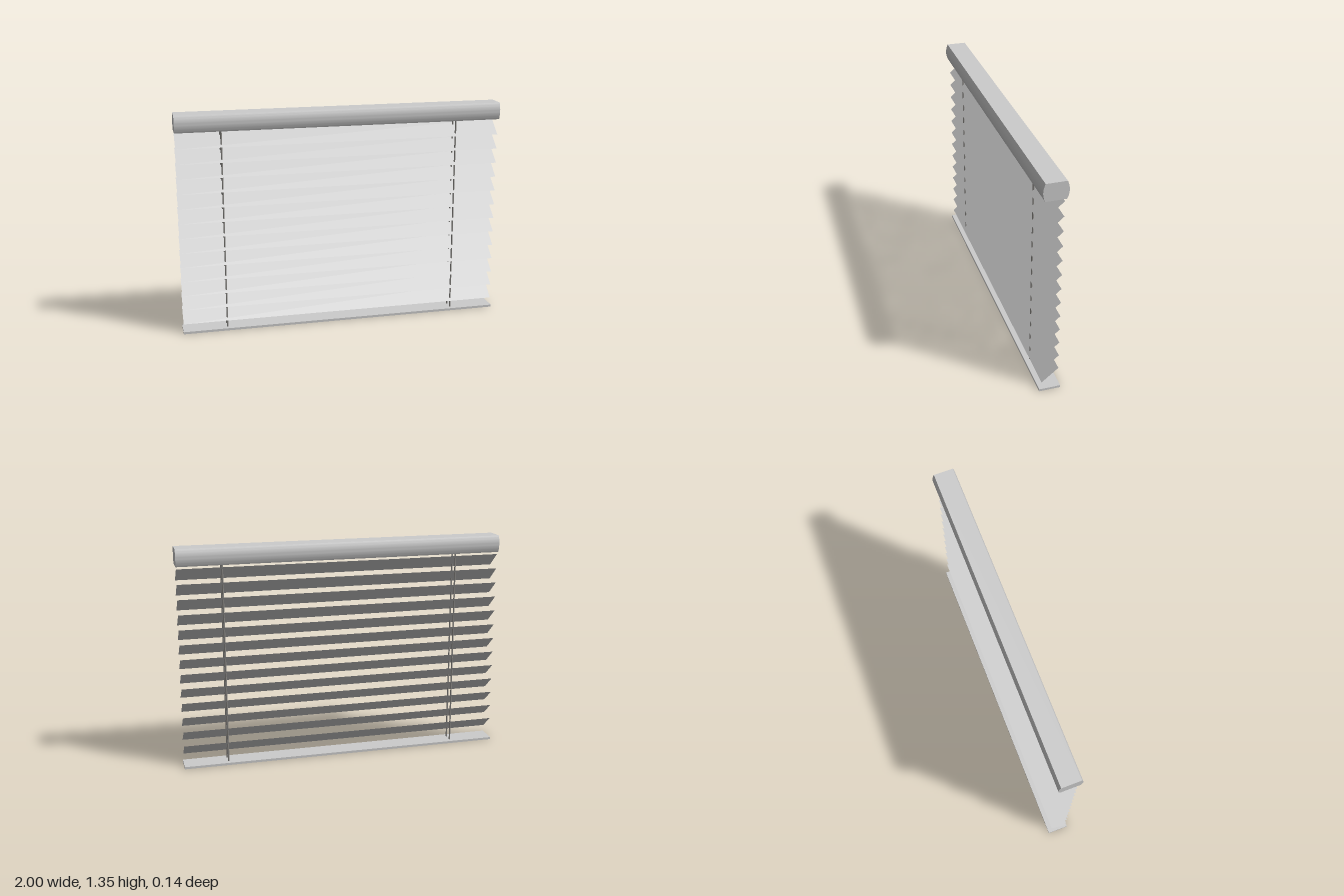
import * as THREE from 'three';
import { toCreasedNormals } from 'three/addons/utils/BufferGeometryUtils.js';

export function createModel() {
  const model = new THREE.Group();
  model.name = 'venetianBlind';

  const lightGrey = new THREE.MeshStandardMaterial({ color: 0xcccccc });
  lightGrey.name = 'light grey';
  const slatGrey = new THREE.MeshStandardMaterial({ color: 0xcccccc, side: THREE.DoubleSide });
  slatGrey.name = 'slat grey';
  const cordGrey = new THREE.MeshStandardMaterial({ color: 0x8c8a86 });
  cordGrey.name = 'cord grey';

  const add = (name, geometry, material, x, y, z) => {
    const mesh = new THREE.Mesh(geometry, material);
    mesh.name = name;
    mesh.position.set(x, y, z);
    model.add(mesh);
    return mesh;
  };

  // Head rail: flat top and bottom, bowed front and back
  const halfHeight = 0.052, steps = 16, profile = [];
  for (const side of [1, -1]) {
    for (let i = 0; i <= steps; i++) {
      const t = (i / steps) * 2 - 1;
      profile.push(new THREE.Vector2(side * (0.059 + 0.012 * (1 - t * t)), side * t * halfHeight));
    }
  }
  const rail = new THREE.ExtrudeGeometry(new THREE.Shape(profile), { depth: 2, bevelEnabled: false });
  rail.translate(0, 0, -1).rotateY(Math.PI / 2);
  add('headRail', toCreasedNormals(rail, Math.PI / 6), lightGrey, 0, 1.299, 0);

  // Bottom rail
  add('bottomRail', new THREE.BoxGeometry(2, 0.014, 0.126), lightGrey, 0, 0.007, 0);

  // Tilted slats, front edge low and back edge high
  const slatDepth = 0.098, slatRise = 0.083;
  const slat = new THREE.PlaneGeometry(1.994, Math.hypot(slatDepth, slatRise));
  slat.rotateX(-Math.atan2(slatDepth, slatRise));
  for (let i = 0; i < 13; i++) {
    add('slat' + (i + 1), slat, slatGrey, 0, 0.101 + i * 0.0908, 0);
  }

  // Ladder cords, a front and back pair near each end
  const cord = new THREE.CylinderGeometry(0.005, 0.005, 1.24, 8);
  for (const x of [-0.727, 0.727]) {
    for (const z of [-0.028, 0.028]) {
      add((x > 0 ? 'left' : 'right') + (z > 0 ? 'Front' : 'Back') + 'Cord', cord, cordGrey, x, 0.63, z);
    }
  }
  return model;
}
